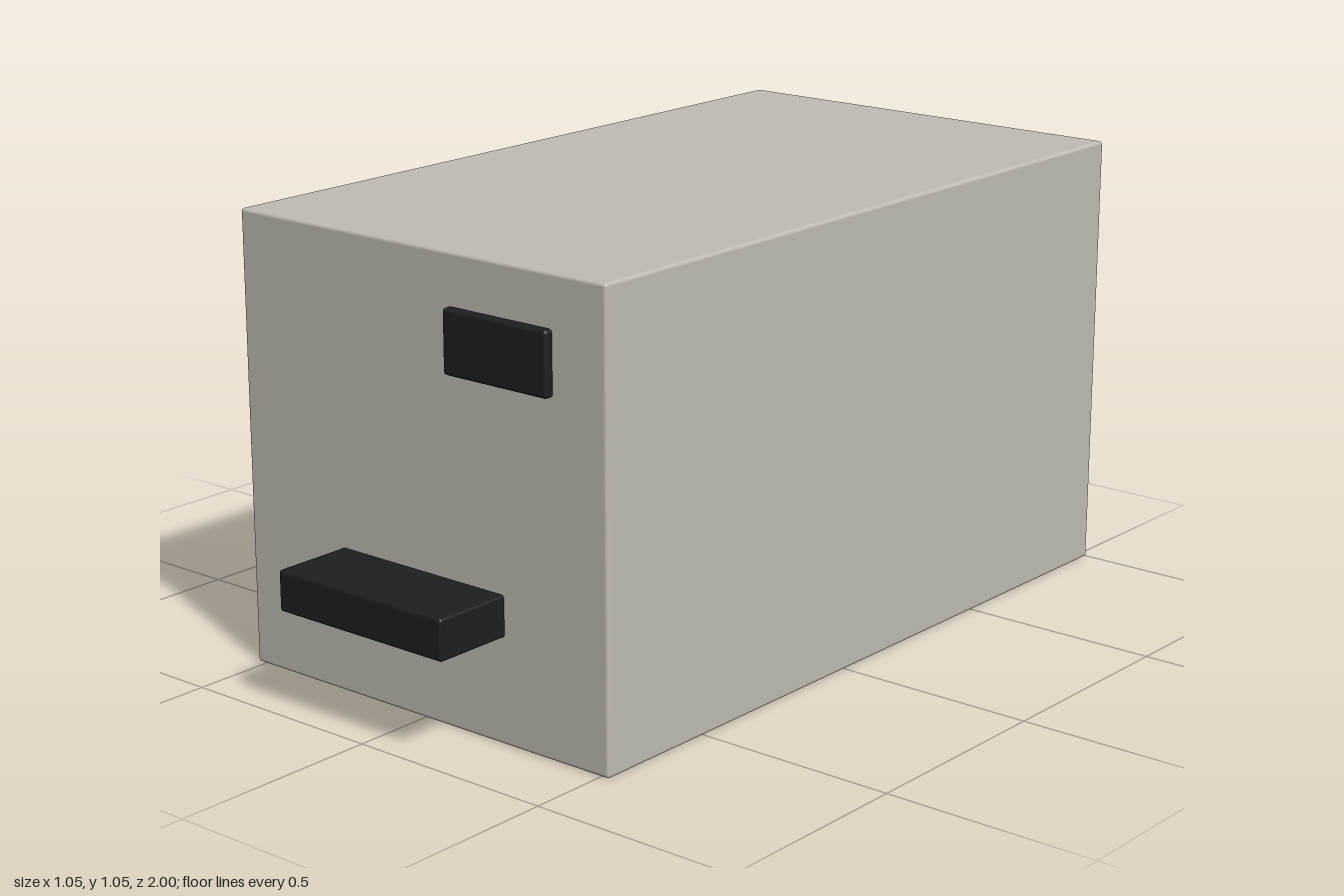
import * as THREE from 'three';
import { RoundedBoxGeometry } from 'three/addons/geometries/RoundedBoxGeometry.js';

const shell = new THREE.MeshStandardMaterial({ color: 0xbfbbb2 });
const dark = new THREE.MeshStandardMaterial({ color: 0x1d1e20 });

// Softly rounded box given by its [min, max] range on each axis
function block(name, [x0, x1], [y0, y1], [z0, z1], radius, material) {
  const geometry = new RoundedBoxGeometry(x1 - x0, y1 - y0, z1 - z0, 3, radius);
  const mesh = new THREE.Mesh(geometry, material);
  mesh.name = name;
  mesh.position.set((x0 + x1) / 2, (y0 + y1) / 2, (z0 + z1) / 2);
  return mesh;
}

export function createModel() {
  const group = new THREE.Group();
  group.name = 'boxAppliance';
  group.add(
    // Main housing
    block('housing', [-0.523, 0.523], [0, 1.047], [-1, 0.81], 0.008, shell),
    // Thin display panel, upper corner of the front
    block('displayPanel', [0.094, 0.38], [0.788, 0.931], [0.79, 0.83], 0.008, dark),
    // Ledge projecting from the lower front
    block('frontTray', [-0.238, 0.238], [0.241, 0.335], [0.79, 1], 0.007, dark),
  );
  return group;
}
